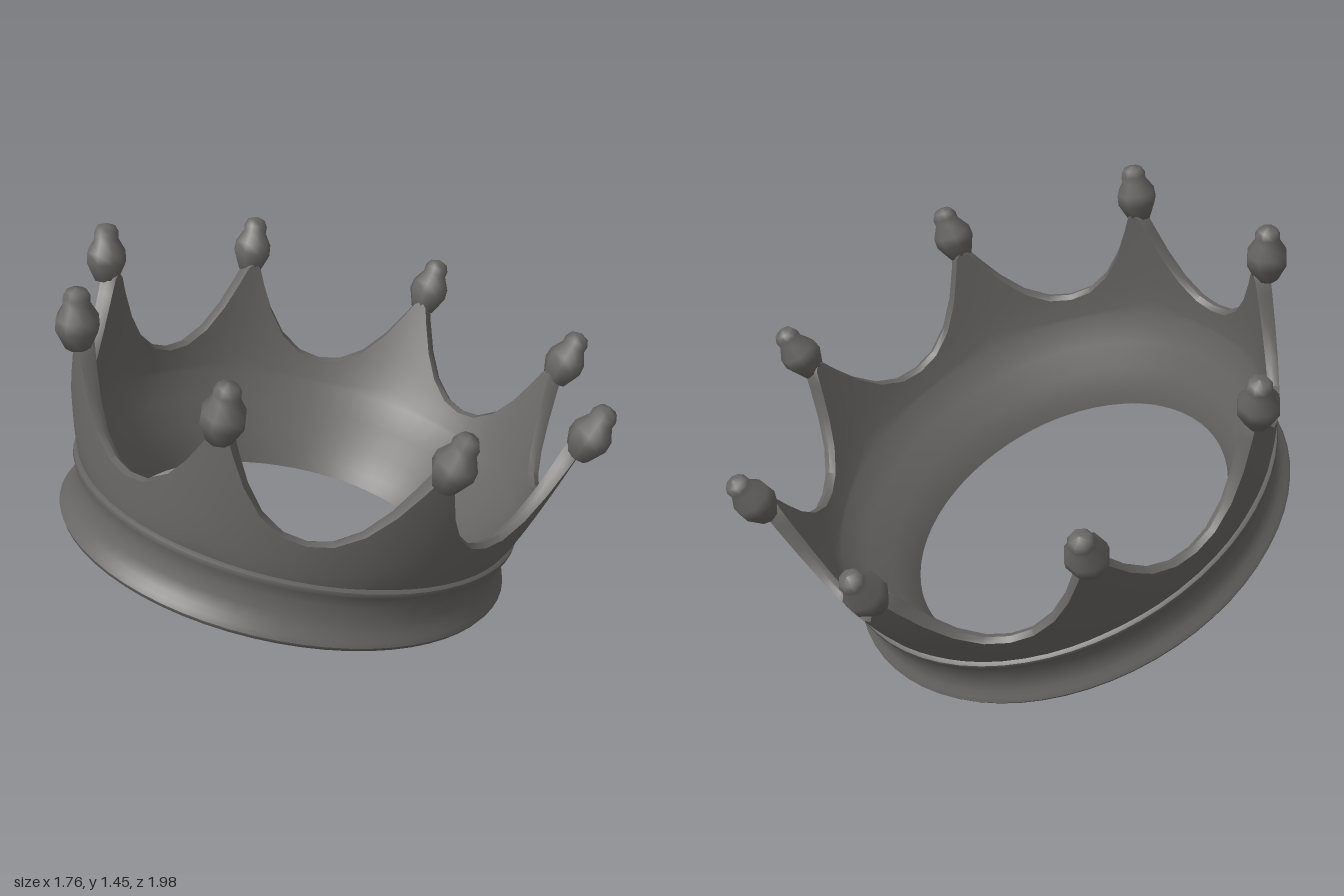
import * as THREE from 'three';
import { toCreasedNormals } from 'three/addons/utils/BufferGeometryUtils.js';

const SPIKES = 8;
const STEP = (Math.PI * 2) / SPIKES;
const OVAL = 0.09; // the crown is this much narrower in x than in z

// Rise of the scalloped edge from valley (0) to spike (1)
const SCALLOP = [[0, 0], [0.25, 0.015], [0.5, 0.07], [0.7, 0.155], [0.85, 0.25], [0.93, 0.31], [1, 0.33]];

// Sweeps a closed profile [radius, height] around the oval, one profile per column
function sweepOval(columns) {
  const positions = [], index = [];
  const n = columns.length, m = columns[0].profile.length;
  for (const { angle, profile } of columns) {
    for (const [r, h] of profile) {
      positions.push((r - OVAL) * Math.sin(angle), h, r * Math.cos(angle));
    }
  }
  for (let i = 0; i < n; i++) {
    for (let j = 0; j < m; j++) {
      const a = i * m + j, b = ((i + 1) % n) * m + j;
      const c = ((i + 1) % n) * m + ((j + 1) % m), d = i * m + ((j + 1) % m);
      index.push(a, b, c, a, c, d);
    }
  }
  const geometry = new THREE.BufferGeometry();
  geometry.setAttribute('position', new THREE.Float32BufferAttribute(positions, 3));
  geometry.setIndex(index);
  return toCreasedNormals(geometry, 0.8);
}

// Outer radius of the flaring wall at a height
const wallRadius = (h) => 0.815 + 0.15 * Math.pow(Math.max(0, h - 0.19) / 0.51, 0.8);

// Wall section: outside going up, rounded edge, inside going down to the rim
function wallProfile(rise) {
  const top = 0.37 + rise, levels = 7;
  const thickness = (h) => 0.04 + 0.05 * Math.max(0, h - 0.37);
  const profile = [];
  for (let k = 0; k <= levels; k++) {
    const h = 0.19 + ((top - 0.19) * k) / levels;
    profile.push([wallRadius(h), h]);
  }
  profile.push([wallRadius(top) - thickness(top) / 2, top + 0.01]);
  for (let k = levels; k >= 0; k--) {
    const h = 0.29 + ((top - 0.29) * k) / levels;
    profile.push([wallRadius(h) - thickness(h), h]);
  }
  profile.push([0.75, 0.2], [0.685, 0.12], [0.64, 0.05], [0.62, 0]);
  return profile;
}

export function createModel() {
  const metal = new THREE.MeshStandardMaterial({ color: 0x686664 });
  metal.name = 'darkGreyMetal';

  const model = new THREE.Group();
  model.name = 'crown';
  const tilted = new THREE.Group();
  tilted.name = 'tiltedCrown';
  tilted.position.set(0, 0.318, 0.215);
  tilted.rotation.x = -0.38;
  model.add(tilted);

  const add = (geometry, name) => {
    const mesh = new THREE.Mesh(geometry, metal);
    mesh.name = name;
    tilted.add(mesh);
    return mesh;
  };

  // Scalloped wall with eight spikes
  const wallColumns = [];
  for (let s = 0; s < SPIKES; s++) {
    for (const [u, rise] of SCALLOP) {
      wallColumns.push({ angle: (s + u / 2) * STEP, profile: wallProfile(rise) });
    }
    for (const [u, rise] of SCALLOP.slice(1, -1).reverse()) {
      wallColumns.push({ angle: (s + 1 - u / 2) * STEP, profile: wallProfile(rise) });
    }
  }
  add(sweepOval(wallColumns), 'spikedWall');

  // Base band: flat underside, rounded lower lip, hollow face, upper ridge
  const bandProfile = [
    [0.62, 0], [0.825, -0.004], [0.842, 0.003], [0.85, 0.017], [0.843, 0.035], [0.828, 0.055],
    [0.818, 0.1], [0.822, 0.15], [0.832, 0.19], [0.842, 0.2], [0.842, 0.213], [0.83, 0.222], [0.81, 0.225],
  ];
  const bandColumns = [];
  for (let i = 0; i < 64; i++) {
    bandColumns.push({ angle: (i / 64) * Math.PI * 2, profile: bandProfile });
  }
  add(sweepOval(bandColumns), 'baseBand');

  // Knobs leaning outward on the spike tips
  const knobPoints = [
    [0, -0.09], [0.042, -0.085], [0.072, -0.02], [0.07, 0.018], [0.044, 0.062],
    [0.045, 0.085], [0.033, 0.108], [0, 0.118],
  ].map(([x, y]) => new THREE.Vector2(x, y));
  const knobGeometry = new THREE.LatheGeometry(knobPoints, 8);
  for (let s = 0; s < SPIKES; s++) {
    const angle = (s + 0.5) * STEP;
    const knob = add(knobGeometry, 'knob');
    knob.position.set((0.97 - OVAL) * Math.sin(angle), 0.74, 0.97 * Math.cos(angle));
    knob.rotation.set(0.25, angle, 0, 'YXZ');
  }

  return model;
}
